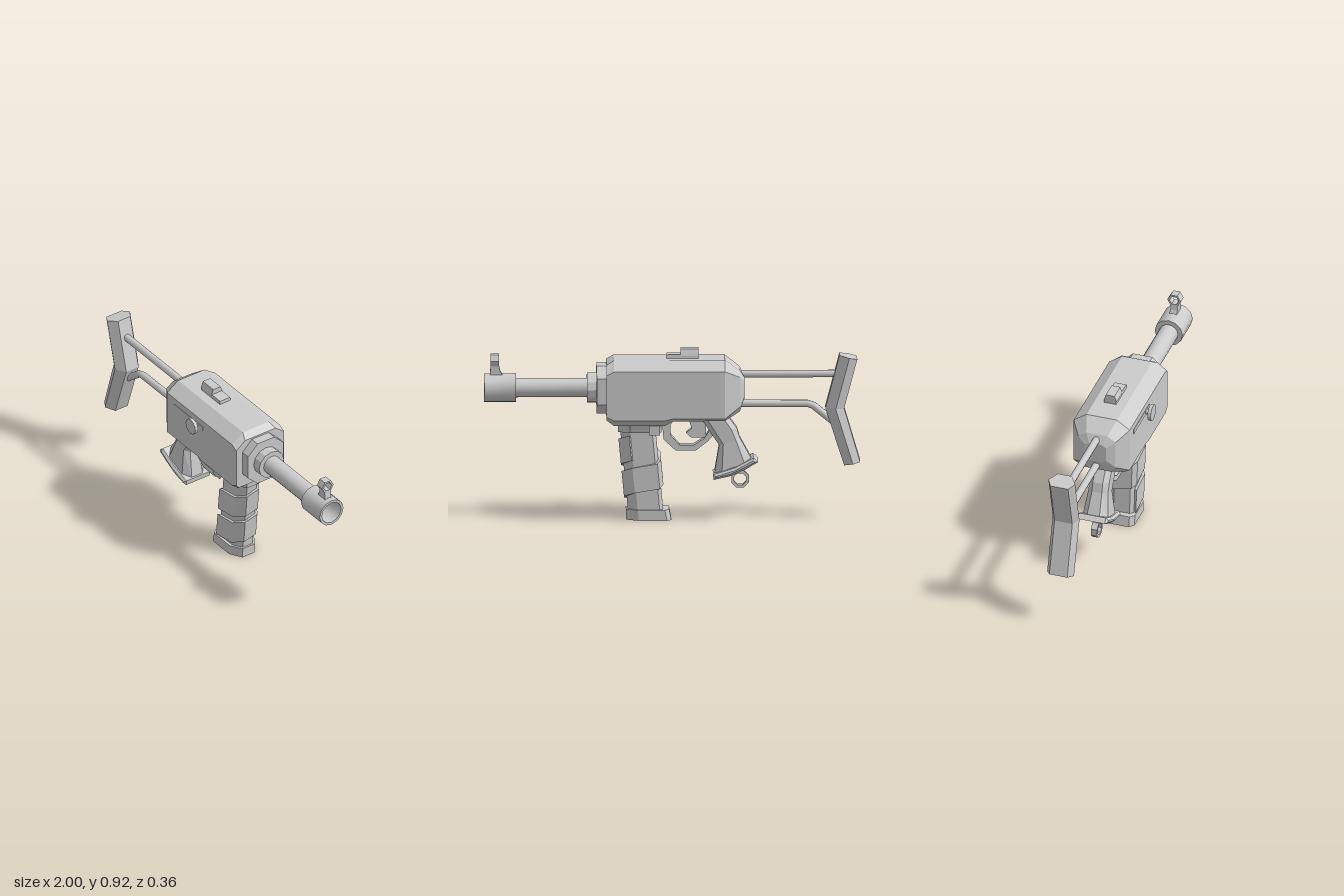
import * as THREE from 'three';
import { toCreasedNormals } from 'three/addons/utils/BufferGeometryUtils.js';

const ZC = -0.02;   // middle plane of the model
const AXIS = 0.708; // height of the barrel axis
const flat = new THREE.MeshStandardMaterial({ color: 0xcccccc, flatShading: true });
const smooth = new THREE.MeshStandardMaterial({ color: 0xcccccc });

// Closed solid from equal-length rings of [x, y, z] corners, capped at both ends
function loft(rings) {
  const pos = [];
  const n = rings[0].length;
  const tri = (a, b, c) => pos.push(...a, ...b, ...c);
  for (let i = 0; i < rings.length - 1; i++) {
    const p = rings[i], q = rings[i + 1];
    for (let j = 0; j < n; j++) {
      const k = (j + 1) % n;
      tri(p[j], p[k], q[k]);
      tri(p[j], q[k], q[j]);
    }
  }
  const cap = (ring, flip) => {
    const mid = [0, 1, 2].map(a => ring.reduce((s, p) => s + p[a], 0) / n);
    ring.forEach((p, j) => {
      const r = ring[(j + 1) % n];
      flip ? tri(mid, r, p) : tri(mid, p, r);
    });
  };
  cap(rings[0], true);
  cap(rings[rings.length - 1], false);
  // Turn the faces outward when the signed volume is negative
  const a = new THREE.Vector3(), b = new THREE.Vector3(), c = new THREE.Vector3();
  let volume = 0;
  for (let i = 0; i < pos.length; i += 9) {
    a.fromArray(pos, i); b.fromArray(pos, i + 3); c.fromArray(pos, i + 6);
    volume += a.dot(b.cross(c));
  }
  if (volume < 0) {
    for (let i = 0; i < pos.length; i += 9) {
      for (let k = 3; k < 6; k++) [pos[i + k], pos[i + k + 3]] = [pos[i + k + 3], pos[i + k]];
    }
  }
  const g = new THREE.BufferGeometry();
  g.setAttribute('position', new THREE.Float32BufferAttribute(pos, 3));
  g.computeVertexNormals();
  return g;
}

// Side outline extruded evenly about z = 0, with an optional chamfer
function slab(points, depth, bevel = 0, hole = null) {
  const s = new THREE.Shape(points.map(p => new THREE.Vector2(...p)));
  if (hole) s.holes.push(new THREE.Path(hole.map(p => new THREE.Vector2(...p))));
  const d = depth - 2 * bevel;
  const g = new THREE.ExtrudeGeometry(s, {
    depth: d, bevelEnabled: bevel > 0, bevelThickness: bevel,
    bevelSize: bevel, bevelOffset: -bevel, bevelSegments: 1,
  });
  return g.translate(0, 0, -d / 2);
}

// Corners of a regular polygon
const polygon = (cx, cy, r, n, turn = 0) => Array.from({ length: n }, (_, i) => {
  const t = turn + i / n * Math.PI * 2;
  return [cx + r * Math.cos(t), cy + r * Math.sin(t)];
});

// Turned part along the x axis from [radius, x] pairs
function turned(profile, sides) {
  const g = new THREE.LatheGeometry(profile.map(p => new THREE.Vector2(...p)), sides);
  return toCreasedNormals(g.rotateZ(-Math.PI / 2), 0.6).translate(0, AXIS, 0);
}

// Eight-cornered body section at x
const section = (x, top, shoulder, hip, bottom, w, tw, bw) => [
  [x, top, -tw], [x, shoulder, -w], [x, hip, -w], [x, bottom, -bw],
  [x, bottom, bw], [x, hip, w], [x, shoulder, w], [x, top, tw],
];

// Plan outline of the magazine, in half-sizes
const PLAN = [[-1, -0.7], [-0.8, -1], [0.45, -1], [1, -0.5], [1, 0.5], [0.45, 1], [-0.8, 1], [-1, 0.7]];
const plan = (cx, y, hx, hz) => PLAN.map(([x, z]) => [cx + x * hx, y, z * hz]);
const magazineX = y => 0.142 + (y - 0.06) * 0.095;

// Band climbing around the magazine
function wrapBand() {
  const rings = [];
  const pitch = 0.175, height = 0.135, start = 0.062;
  for (let i = 0; i <= 12; i++) {
    const [px, pz] = PLAN[(14 - i) % 8];
    const y = start + pitch * i / 8;
    const corner = (h, grow) => [magazineX(h) + px * (0.09 + grow), h, pz * (0.06 + grow)];
    rings.push([corner(y, 0), corner(y, 0.018), corner(y + height, 0.018), corner(y + height, 0)]);
  }
  return loft(rings);
}

export function createModel() {
  const model = new THREE.Group();
  const add = (name, geometry, material = flat) => {
    const m = new THREE.Mesh(geometry, material);
    m.name = name;
    m.position.z = ZC;
    model.add(m);
    return m;
  };

  // Receiver with chamfered edges and tapered rear
  add('receiver', loft([
    section(-0.385, 0.765, 0.75, 0.67, 0.655, 0.06, 0.035, 0.035),
    section(-0.36, 0.81, 0.78, 0.62, 0.59, 0.105, 0.06, 0.07),
    section(-0.28, 0.87, 0.82, 0.565, 0.548, 0.157, 0.085, 0.125),
    section(0.0, 0.87, 0.82, 0.565, 0.545, 0.157, 0.085, 0.125),
    section(0.04, 0.87, 0.82, 0.555, 0.52, 0.157, 0.085, 0.115),
    section(0.31, 0.87, 0.82, 0.555, 0.52, 0.157, 0.085, 0.115),
    section(0.35, 0.845, 0.8, 0.575, 0.555, 0.157, 0.1, 0.14),
  ]));

  // Front collars, barrel and hollow muzzle
  add('frontCollar', loft([0.34, 0.402].map(x => section(x, 0.835, 0.775, 0.635, 0.578, 0.116, 0.055, 0.055))));
  add('barrelCollar', turned([[0, 0.4], [0.081, 0.4], [0.081, 0.453], [0, 0.453]], 12));
  add('barrel', turned([[0.052, 0.44], [0.052, 0.9], [0, 0.9]], 16), smooth);
  add('muzzle', turned([[0.05, 0.83], [0.078, 0.83], [0.078, 1], [0.063, 1], [0.063, 0.88], [0, 0.88]], 12), smooth);

  // Front sight: sloped post carrying a hexagonal ring
  add('frontSightPost', slab([[0.895, 0.77], [0.97, 0.77], [0.965, 0.828], [0.92, 0.828], [0.915, 0.8]], 0.04));
  const ring = slab(polygon(0, 0, 0.038, 6), 0.046, 0, polygon(0, 0, 0.026, 6));
  add('frontSightRing', ring.rotateY(Math.PI / 2).translate(0.943, 0.857, 0));

  // Rear sight: low base with a raised tapered block
  const sightBlock = (x0, x1, y0, y1, w0, w1) => loft([[x0, y0, w0], [x0, y1, w1]].map(([, y, w]) =>
    [[x0, y, -w], [x1, y, -w], [x1, y, w], [x0, y, w]]));
  add('rearSightBase', sightBlock(-0.14, 0.03, 0.86, 0.89, 0.035, 0.033));
  add('rearSightBlock', sightBlock(-0.14, -0.045, 0.885, 0.92, 0.036, 0.024));

  // Cocking handle and its slot
  add('handleSlot', slab([[-0.215, 0.757], [0.045, 0.757], [0.045, 0.784], [-0.215, 0.784]], 0.006).translate(0, 0, 0.157));
  const knob = (name, r, z0, z1) => add(name, new THREE.CylinderGeometry(r, r, z1 - z0, 12)
    .rotateX(Math.PI / 2).translate(-0.01, 0.77, (z0 + z1) / 2 - ZC));
  knob('handleStem', 0.014, 0.12, 0.165);
  knob('handleKnob', 0.045, 0.16, 0.178);

  // Stock rods
  const rod = (name, points) => {
    const path = new THREE.CurvePath();
    for (let i = 1; i < points.length; i++) {
      path.add(new THREE.LineCurve3(...[points[i - 1], points[i]].map(p => new THREE.Vector3(p[0], p[1], 0))));
    }
    add(name, new THREE.TubeGeometry(path, 16, 0.02, 10), smooth);
  };
  rod('upperStockRod', [[-0.34, 0.78], [-0.88, 0.78]]);
  rod('lowerStockRod', [[-0.34, 0.62], [-0.74, 0.618], [-0.86, 0.52]]);

  // Shoulder stock: six-sided section along a bent path
  const stockRing = (bx, by, fx, fy) => [[0, 0.05], [0.45, 0.075], [1, 0.04], [1, -0.04], [0.45, -0.075], [0, -0.05]]
    .map(([t, z]) => [bx + (fx - bx) * t, by + (fy - by) * t, z]);
  add('shoulderStock', loft([
    stockRing(-0.985, 0.865, -0.89, 0.886),
    stockRing(-0.915, 0.6, -0.815, 0.6),
    stockRing(-1, 0.31, -0.915, 0.29),
  ]));

  // Pistol grip, flared foot and lanyard ring
  const gripRing = (bx, by, fx, fy, w) => [[0, 0.5], [0.2, 1], [0.8, 1], [1, 0.5], [1, -0.5], [0.8, -1], [0.2, -1], [0, -0.5]]
    .map(([t, z]) => [bx + (fx - bx) * t, by + (fy - by) * t, z * w]);
  add('pistolGrip', loft([
    gripRing(-0.28, 0.58, -0.14, 0.57, 0.055),
    gripRing(-0.345, 0.49, -0.195, 0.48, 0.055),
    gripRing(-0.36, 0.44, -0.25, 0.4, 0.055),
    gripRing(-0.425, 0.32, -0.225, 0.25, 0.07),
  ]));
  add('gripFoot', slab([[-0.457, 0.316], [-0.432, 0.338], [-0.33, 0.283], [-0.217, 0.248], [-0.22, 0.22],
    [-0.31, 0.24], [-0.39, 0.276]], 0.176, 0.012));
  add('lanyardRing', slab(polygon(-0.362, 0.213, 0.05, 8, 0.39), 0.035, 0, polygon(-0.362, 0.213, 0.034, 8, 0.39)));

  // Trigger and its guard
  add('trigger', slab([[-0.18, 0.57], [-0.18, 0.44], [-0.1, 0.44], [-0.075, 0.465], [-0.105, 0.49], [-0.075, 0.57]], 0.04));
  add('triggerGuard', slab([[-0.215, 0.45], [-0.19, 0.42], [-0.125, 0.37], [-0.02, 0.37], [0.045, 0.43], [0.055, 0.53],
    [-0.02, 0.555], [0.008, 0.51], [0.008, 0.455], [-0.04, 0.4], [-0.115, 0.4], [-0.17, 0.435], [-0.2, 0.48]], 0.06));

  // Magazine well with side lugs
  add('magazineWell', loft([plan(0.172, 0.475, 0.115, 0.08), plan(0.172, 0.54, 0.118, 0.1)]));
  for (const s of [-1, 1]) {
    add('wellLug', loft([[0.065, 0.08], [0.125, 0.08]].map(([x, z]) =>
      [[x, 0.54, s * 0.05], [x, 0.54, s * 0.102], [x, 0.465, s * 0.102], [x, 0.49, s * z]])));
  }

  // Magazine, spiral wrap and floor plate
  add('magazine', loft([0.05, 0.49].map(y => plan(magazineX(y), y, 0.094, 0.064))));
  add('magazineWrap', wrapBand());
  add('magazineFoot', loft([plan(0.124, 0, 0.12, 0.079), plan(0.131, 0.057, 0.115, 0.079)]));

  return model;
}
